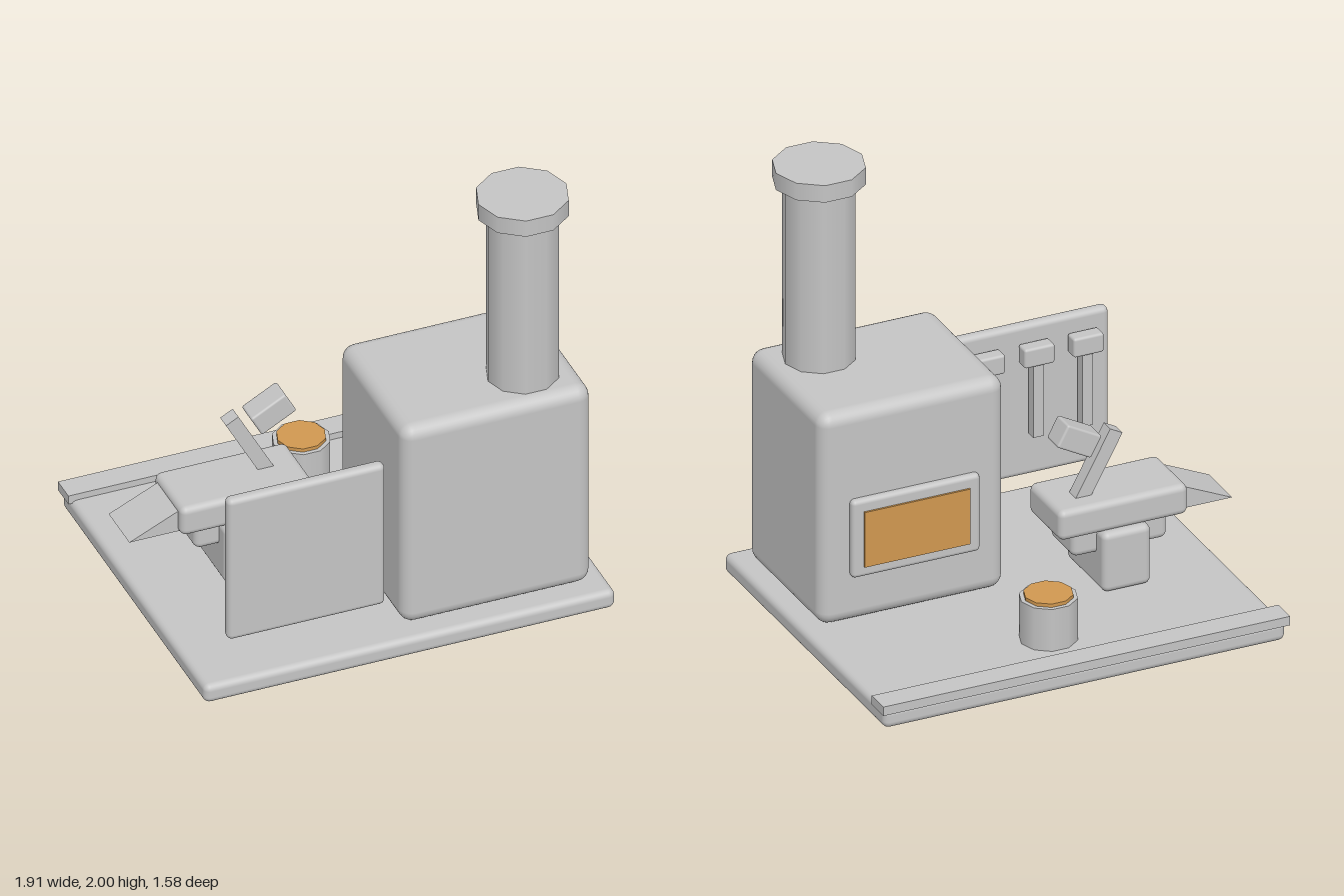
import * as THREE from 'three';
import { RoundedBoxGeometry } from 'three/addons/geometries/RoundedBoxGeometry.js';

export function createModel() {
  const model = new THREE.Group();
  model.name = 'smithy';
  const grey = new THREE.MeshStandardMaterial({ color: 0xc4c4c4 });
  grey.name = 'grey';
  const ember = new THREE.MeshStandardMaterial({ color: 0xd09850 });
  ember.name = 'ember orange';

  function add(name, geometry, material = grey, parent = model) {
    const mesh = new THREE.Mesh(geometry, material);
    mesh.name = name;
    parent.add(mesh);
    return mesh;
  }
  // Box given by its extents; a radius rounds the edges
  function box(name, [x0, x1], [y0, y1], [z0, z1], radius = 0, material = grey, parent = model) {
    const size = [x1 - x0, y1 - y0, z1 - z0];
    const geometry = radius
      ? new RoundedBoxGeometry(...size, 3, radius)
      : new THREE.BoxGeometry(...size);
    const mesh = add(name, geometry, material, parent);
    mesh.position.set((x0 + x1) / 2, (y0 + y1) / 2, (z0 + z1) / 2);
    return mesh;
  }
  // Ten-sided drum with corners pointing along x
  function drum(name, radius, x, z, [y0, y1], material = grey) {
    const geometry = new THREE.CylinderGeometry(radius, radius, y1 - y0, 10);
    geometry.rotateY(Math.PI / 2);
    const mesh = add(name, geometry, material);
    mesh.position.set(x, (y0 + y1) / 2, z);
    return mesh;
  }

  // Floor slab and the strip along its back edge
  box('floor', [-0.915, 0.942], [0, 0.09], [-0.777, 0.792], 0.03);
  box('backStrip', [-0.926, 0.955], [0.078, 0.12], [-0.792, -0.678]);

  // Furnace with its fire opening and chimney
  box('furnace', [0.016, 0.872], [0.09, 1.088], [-0.007, 0.706], 0.06);
  box('fireFrame', [0.145, 0.738], [0.31, 0.675], [-0.037, 0.02], 0.02);
  box('fire', [0.197, 0.686], [0.36, 0.62], [-0.046, -0.037], 0, ember);
  drum('chimney', 0.156, 0.64, 0.497, [1.08, 1.93]);
  drum('chimneyCap', 0.199, 0.64, 0.497, [1.92, 2.0]);

  // Quench bucket
  drum('bucket', 0.125, 0.043, -0.478, [0.085, 0.288]);
  drum('bucketSurface', 0.106, 0.043, -0.478, [0.28, 0.304], ember);

  // Anvil: foot, waist, body and wedge-shaped horn
  const anvil = new THREE.Group();
  anvil.name = 'anvil';
  model.add(anvil);
  box('anvilFoot', [-0.553, -0.33], [0.09, 0.37], [-0.233, 0.138], 0.03, grey, anvil);
  box('anvilWaist', [-0.66, -0.22], [0.25, 0.42], [-0.163, 0.066], 0.03, grey, anvil);
  box('anvilBody', [-0.738, -0.142], [0.362, 0.503], [-0.203, 0.107], 0.03, grey, anvil);
  const wedge = new THREE.Shape([
    new THREE.Vector2(-0.958, 0.372),
    new THREE.Vector2(-0.7, 0.372),
    new THREE.Vector2(-0.7, 0.49),
  ]);
  const horn = add('anvilHorn',
    new THREE.ExtrudeGeometry(wedge, { depth: 0.226, bevelEnabled: false }), grey, anvil);
  horn.position.z = -0.16;

  // Hammer leaning over the anvil
  const tilt = 0.5;
  const handle = add('hammerHandle', new THREE.BoxGeometry(0.064, 0.36, 0.064));
  handle.position.set(-0.36, 0.622, -0.079);
  handle.rotation.z = tilt;
  const head = add('hammerHead', new RoundedBoxGeometry(0.178, 0.108, 0.109, 2, 0.01));
  head.position.set(-0.267, 0.778, -0.079);
  head.rotation.z = tilt;

  // Tool board with three hanging tools
  box('toolBoard', [-0.77, -0.058], [0.222, 0.934], [0.638, 0.695], 0.025);
  for (const x of [-0.64, -0.413, -0.184]) {
    box('toolHandle', [x - 0.025, x + 0.025], [0.43, 0.79], [0.575, 0.62]);
    box('toolHead', [x - 0.07, x + 0.07], [0.77, 0.86], [0.56, 0.628], 0.012);
  }
  return model;
}
